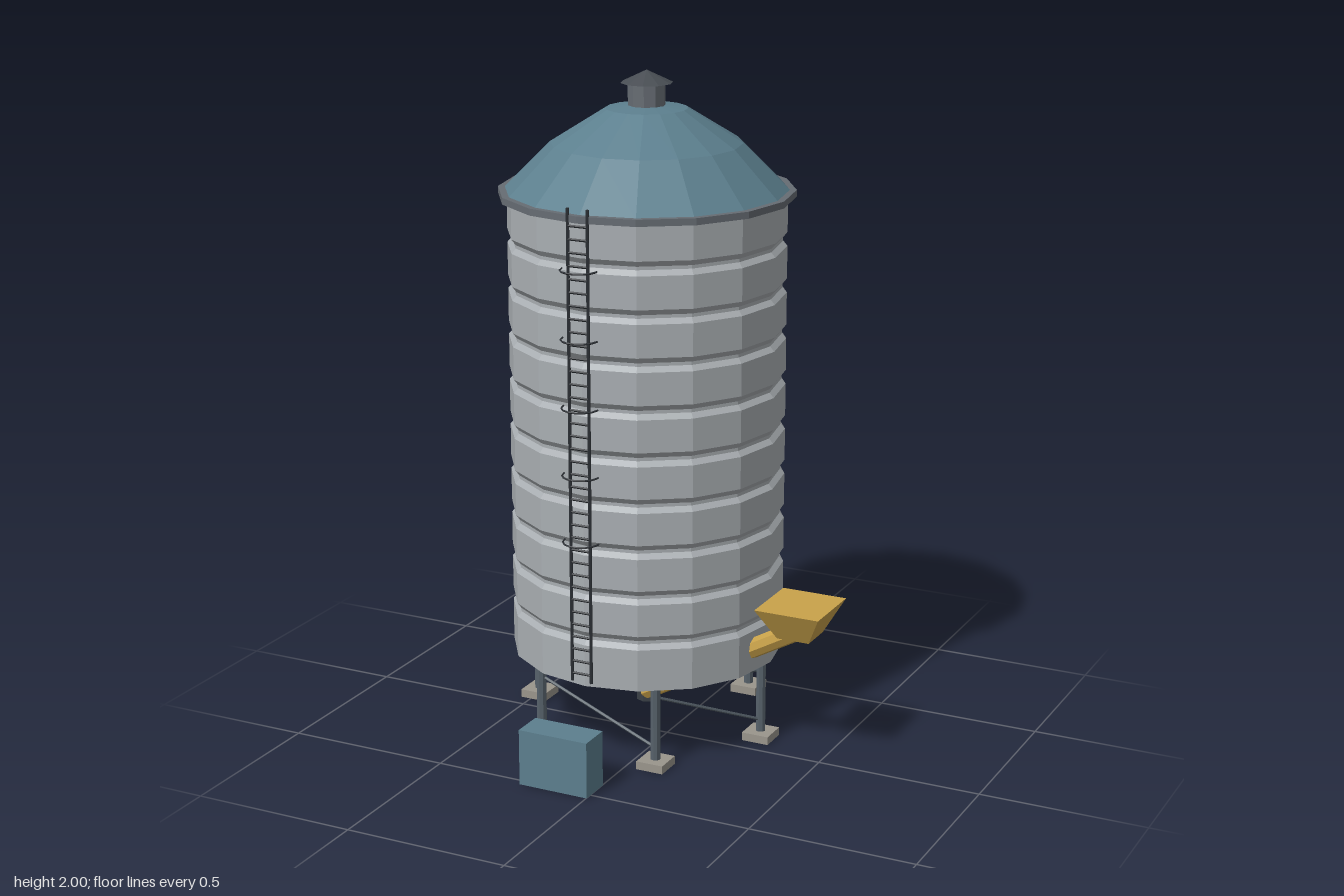
import * as THREE from 'three';

const mat = (color) => new THREE.MeshStandardMaterial({ color, flatShading: true });

export function createModel() {
  const model = new THREE.Group();
  const steel = mat(0xa9aeb2), blue = mat(0x5c7f8e), trim = mat(0x666c73), dark = mat(0x3a4046);
  const legMat = mat(0x56616a), concrete = mat(0x9a958c), yellow = mat(0xc9a24a), iron = mat(0x2c3035);

  const silo = new THREE.Group();
  silo.name = 'silo';
  silo.position.set(-0.11, 0, -0.09);
  model.add(silo);

  const add = (parent, name, geo, material, x = 0, y = 0, z = 0) => {
    const m = new THREE.Mesh(geo, material);
    m.name = name;
    m.position.set(x, y, z);
    parent.add(m);
    return m;
  };
  const lathe = (pts, sides = 16) =>
    new THREE.LatheGeometry(pts.map(([r, y]) => new THREE.Vector2(r, y)), sides);
  // Round bar between two points
  const bar = (parent, name, a, b, r, material, sides = 6) => {
    const d = b.clone().sub(a);
    const m = add(parent, name, new THREE.CylinderGeometry(r, r, d.length(), sides), material);
    m.position.copy(a).addScaledVector(d, 0.5);
    m.quaternion.setFromUnitVectors(new THREE.Vector3(0, 1, 0), d.normalize());
    return m;
  };
  const V = (x, y, z) => new THREE.Vector3(x, y, z);

  // Corrugated wall: ten rings separated by shallow grooves
  const y0 = 0.25, bands = 10, pitch = 0.139, R = 0.41;
  const wall = [[R, y0]];
  for (let i = 1; i < bands; i++) {
    const y = y0 + i * pitch;
    wall.push([R, y - 0.012], [R - 0.013, y + 0.003], [R - 0.013, y + 0.013], [R, y + 0.03]);
  }
  wall.push([R, y0 + bands * pitch]);
  add(silo, 'wall', lathe(wall), steel);

  // Roof, eave, vent
  add(silo, 'roof', lathe([[0.42, 1.65], [0.28, 1.79], [0.12, 1.89], [0, 1.905]]), blue);
  add(silo, 'eave', new THREE.CylinderGeometry(0.435, 0.435, 0.02, 16), trim, 0, 1.645, 0);
  add(silo, 'ventNeck', new THREE.CylinderGeometry(0.055, 0.055, 0.08, 10), trim, 0, 1.93, 0)
    .rotation.y = Math.PI / 2;
  add(silo, 'ventCap', new THREE.ConeGeometry(0.077, 0.037, 10), mat(0x484d53), 0, 1.9815, 0)
    .rotation.y = Math.PI / 2;

  // Discharge cone and outlet
  add(silo, 'dischargeCone', lathe([[0, 0.1], [0.04, 0.11], [R, y0]]), dark);
  add(silo, 'outlet', new THREE.CylinderGeometry(0.035, 0.035, 0.06, 8), dark, 0, 0.09, 0);

  // Six legs with footings and one diagonal brace per bay
  const legAt = (i, y) => V(0.38 * Math.cos(i * Math.PI / 3), y, 0.38 * Math.sin(i * Math.PI / 3));
  for (let i = 0; i < 6; i++) {
    bar(silo, 'leg', legAt(i, 0.02), legAt(i, 0.26), 0.015, legMat, 8);
    const p = legAt(i, 0.0125);
    add(silo, 'footing', new THREE.BoxGeometry(0.085, 0.025, 0.085), concrete, p.x, p.y, p.z);
    bar(silo, 'brace', legAt(i, 0.22), legAt(i - 1, 0.06), 0.005, legMat, 5);
  }

  // Ladder with safety hoops
  const ladder = new THREE.Group();
  ladder.name = 'ladder';
  ladder.position.z = 0.428;
  silo.add(ladder);
  for (const s of [-1, 1]) bar(ladder, 'ladderRail', V(s * 0.031, 0.27, 0), V(s * 0.031, 1.675, 0), 0.005, iron, 5);
  for (let i = 0; i < 36; i++) {
    const y = 0.295 + i * 0.038;
    bar(ladder, 'ladderRung', V(-0.031, y, 0), V(0.031, y, 0), 0.004, iron, 5);
  }
  for (let i = 0; i < 5; i++) {
    add(ladder, 'safetyHoop', new THREE.TorusGeometry(0.055, 0.003, 4, 7, Math.PI), iron, 0, 0.7 + 0.2 * i, -0.008)
      .rotation.x = Math.PI / 2;
  }

  // Auger tube from the outlet up to the loading hopper
  bar(model, 'augerTube', V(-0.11, 0.09, -0.08), V(0.44, 0.415, 0.017), 0.03, yellow, 8);
  const hopperGeo = new THREE.CylinderGeometry(Math.SQRT1_2, Math.SQRT1_2 * 0.5, 1, 4);
  hopperGeo.rotateY(Math.PI / 4);
  add(model, 'loadingHopper', hopperGeo, yellow, 0.44, 0.446, 0.017).scale.set(0.2, 0.096, 0.21);

  // Control cabinet on the ground
  add(model, 'controlCabinet', new THREE.BoxGeometry(0.22, 0.17, 0.1), blue, -0.108, 0.085, 0.475);

  return model;
}
